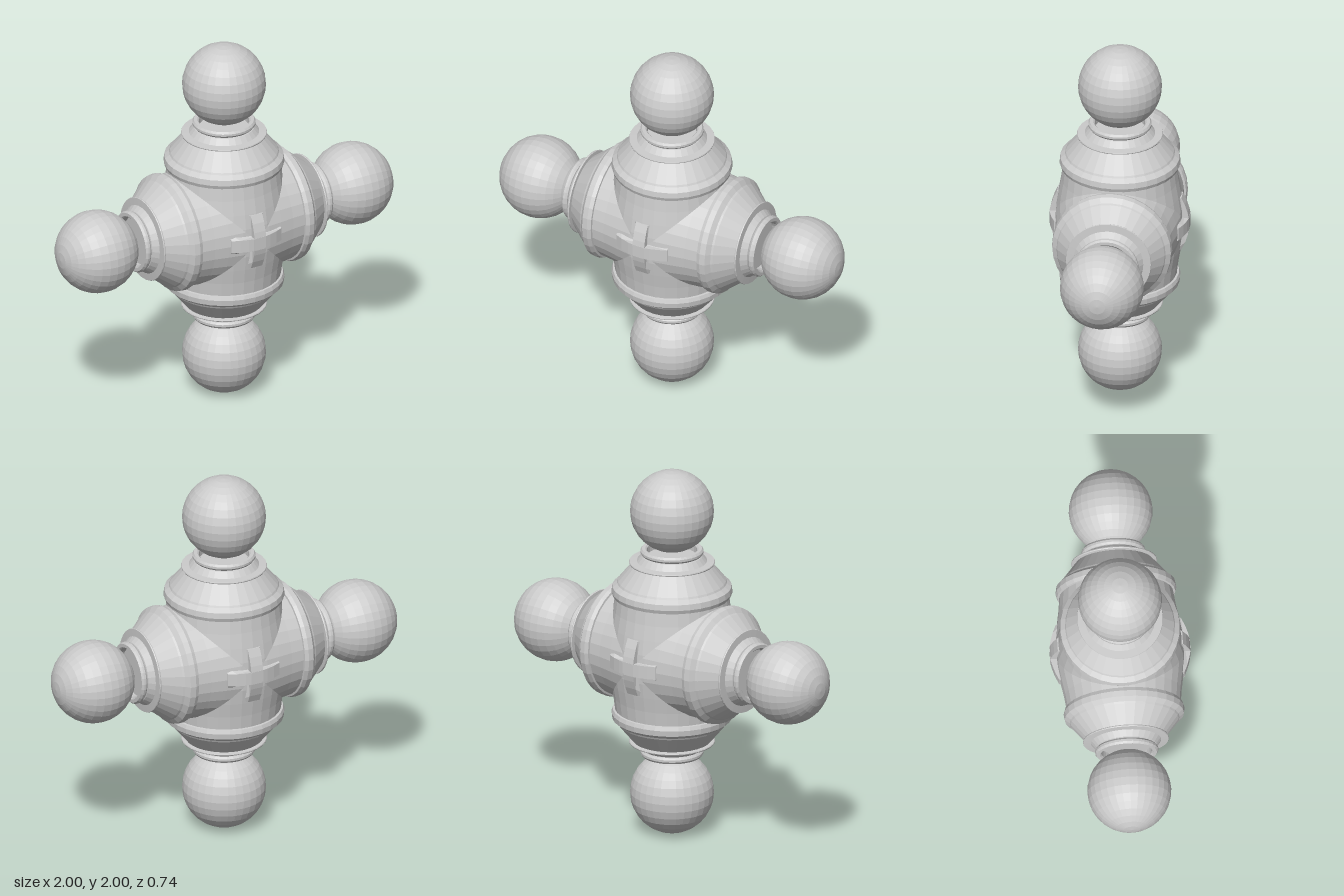
import * as THREE from 'three';

const material = new THREE.MeshStandardMaterial({ color: 0xcccccc, flatShading: true });

function mesh(name, geometry) {
  const m = new THREE.Mesh(geometry, material);
  m.name = name;
  return m;
}

// Turned part: [radius, distance from the hub centre], going outwards
function turned(name, profile) {
  return mesh(name, new THREE.LatheGeometry(profile.map(([r, d]) => new THREE.Vector2(r, d)), 32));
}

// One arm pointing up from the hub centre
function createArm() {
  const arm = new THREE.Group();
  arm.add(turned('barrel', [[0.338, 0], [0.334, 0.08], [0.322, 0.16], [0.308, 0.24], [0.297, 0.33]]));
  arm.add(turned('shoulder', [
    [0.28, 0.31], [0.31, 0.315], [0.317, 0.335], [0.313, 0.365], [0.288, 0.385],
    [0.283, 0.395], [0.205, 0.49], [0.19, 0.495],
  ]));
  arm.add(turned('flange', [[0.19, 0.489], [0.224, 0.492], [0.226, 0.497], [0.224, 0.502], [0.18, 0.505]]));
  arm.add(turned('collar', [[0.186, 0.503], [0.16, 0.535], [0.14, 0.542]]));
  // Rounded ring with a shallow recess facing the ball
  arm.add(turned('ring', [
    [0.14, 0.538], [0.158, 0.54], [0.166, 0.55], [0.166, 0.562], [0.158, 0.573],
    [0.14, 0.573], [0.132, 0.565], [0.13, 0.53], [0, 0.53],
  ]));
  const ball = mesh('ball', new THREE.SphereGeometry(0.22, 32, 16));
  ball.position.y = 0.78;
  arm.add(ball);
  return arm;
}

// Arched bar along x with flared sides, lying on the +z face
function crossBar() {
  const base = 0.28;
  const shape = new THREE.Shape([
    [-0.155, base], [0.155, base], [0.152, 0.328], [0.11, 0.347], [0.065, 0.361], [0.03, 0.368],
    [-0.03, 0.368], [-0.065, 0.361], [-0.11, 0.347], [-0.152, 0.328],
  ].map(([x, y]) => new THREE.Vector2(x, y)));
  const geometry = new THREE.ExtrudeGeometry(shape, { depth: 0.07, bevelEnabled: false });
  geometry.translate(0, 0, -0.035);
  const p = geometry.attributes.position;
  for (let i = 0; i < p.count; i++) {
    if (p.getY(i) < base + 0.001) p.setZ(i, p.getZ(i) * 2);
  }
  geometry.rotateX(Math.PI / 2);
  geometry.computeVertexNormals();
  return mesh('crossBar', geometry);
}

export function createModel() {
  const model = new THREE.Group();
  model.name = 'ballCross';
  const hub = new THREE.Group();
  hub.name = 'hub';
  hub.position.y = 1;
  model.add(hub);

  // Four equal arms
  ['topArm', 'rightArm', 'bottomArm', 'leftArm'].forEach((name, i) => {
    const arm = createArm();
    arm.name = name;
    arm.rotation.z = i * Math.PI / 2;
    hub.add(arm);
  });

  // Raised cross on the front and the back
  ['frontCross', 'backCross'].forEach((name, i) => {
    const cross = new THREE.Group();
    cross.name = name;
    const upright = crossBar();
    upright.rotation.z = Math.PI / 2;
    cross.add(crossBar(), upright);
    cross.rotation.y = i * Math.PI;
    hub.add(cross);
  });
  return model;
}
